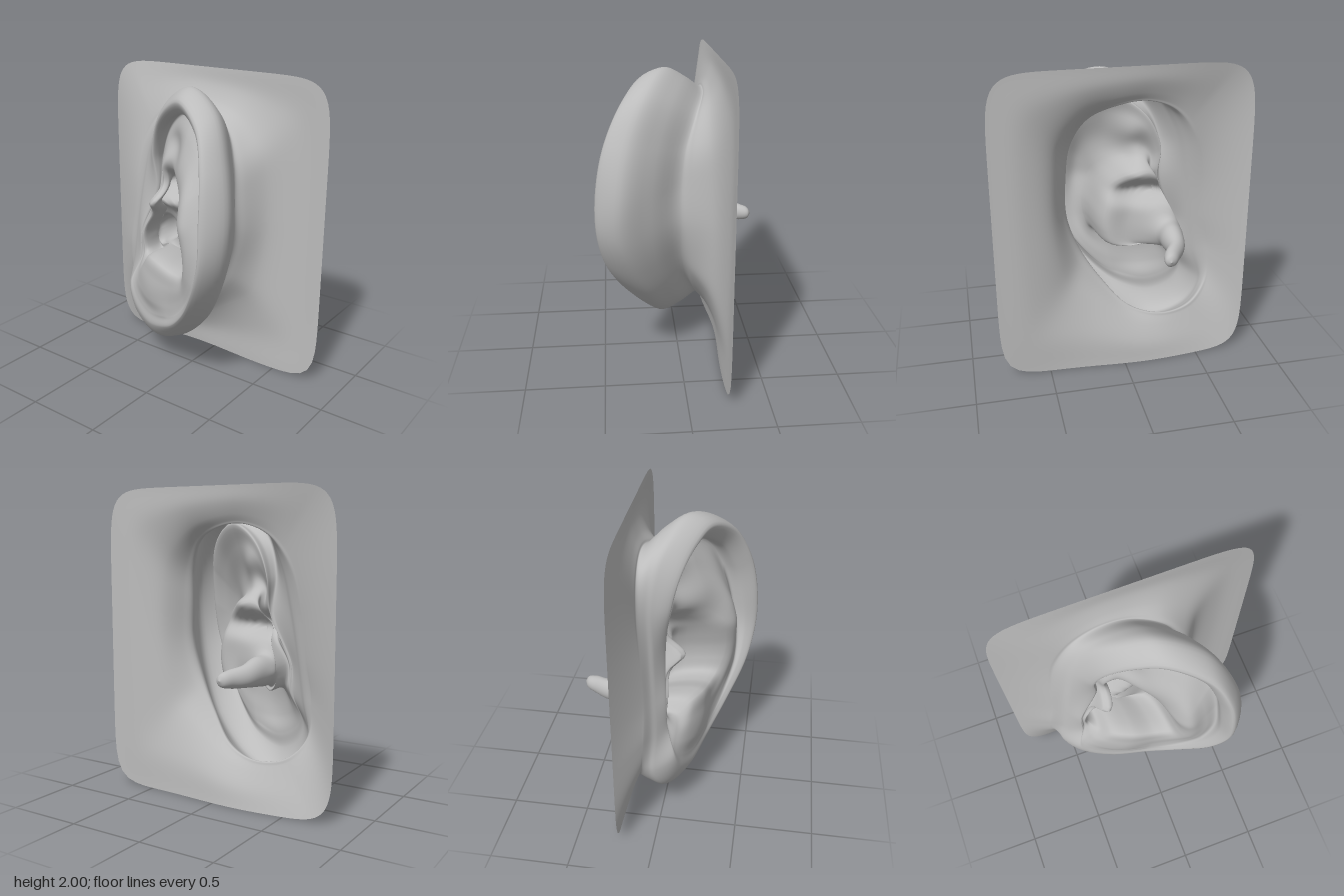
import * as THREE from 'three';

// Guide loops, clockwise from the top of the ear, 17 stations each: x, y, z
const groove = loop([
  0.02, 1.75, -0.15, 0.2, 1.66, -0.09, 0.3, 1.48, -0.02, 0.33, 1.25, 0.01, 0.33, 1, 0.01, 0.26, 0.78, 0,
  0.12, 0.55, -0.05, -0.06, 0.36, -0.13, -0.27, 0.3, -0.17, -0.47, 0.34, -0.15, -0.59, 0.48, -0.1, -0.6, 0.7, -0.08,
  -0.56, 0.95, -0.08, -0.53, 1.25, -0.1, -0.47, 1.52, -0.13, -0.34, 1.7, -0.15, -0.16, 1.77, -0.16]);
const outline = loop([
  0.08, 1.93, 0.1, 0.33, 1.81, 0.22, 0.47, 1.55, 0.33, 0.53, 1.25, 0.38, 0.505, 0.98, 0.38, 0.41, 0.73, 0.31,
  0.24, 0.47, 0.2, 0, 0.26, 0.12, -0.25, 0.17, 0.07, -0.47, 0.27, 0.02, -0.56, 0.46, -0.02, -0.5, 0.68, -0.01,
  -0.47, 0.93, -0.02, -0.42, 1.25, -0.04, -0.37, 1.5, -0.05, -0.25, 1.74, -0.02, -0.1, 1.87, 0.04]);
const crest = loop([
  0.08, 1.86, 0.24, 0.3, 1.74, 0.37, 0.4, 1.52, 0.47, 0.43, 1.25, 0.52, 0.42, 1, 0.52, 0.33, 0.76, 0.47,
  0.17, 0.53, 0.36, -0.03, 0.36, 0.25, -0.25, 0.3, 0.175, -0.41, 0.38, 0.12, -0.47, 0.51, 0.09, -0.42, 0.69, 0.04,
  -0.41, 0.9, 0.03, -0.29, 1.22, 0.01, -0.29, 1.46, 0.04, -0.22, 1.66, 0.09, -0.08, 1.8, 0.16]);
const bowlRim = loop([
  0.02, 1.3, 0.17, 0.08, 1.24, 0.23, 0.12, 1.17, 0.28, 0.15, 1.07, 0.31, 0.17, 0.97, 0.32, 0.165, 0.87, 0.31,
  0.13, 0.78, 0.28, 0.03, 0.76, 0.25, -0.12, 0.79, 0.22, -0.24, 0.79, 0.16, -0.32, 0.73, 0.07, -0.365, 0.77, 0.01,
  -0.37, 0.9, 0.02, -0.2, 1.18, 0, -0.2, 1.34, 0, -0.14, 1.37, 0.03, -0.06, 1.35, 0.1]);
// How strongly the rolled rim overhangs at each station
const overhang = loop([1, 1, 1, 0.9, 0.6, 0.3, 0.1, 0, 0, 0, 0, 0, 0, 0.1, 0.6, 0.8, 0.9].flatMap((d) => [d, 0, 0]));

// Ear canal rings: x, y, z, half width, half height
const canal = [
  [-0.31, 0.88, -0.15, 0.085, 0.1], [-0.31, 0.88, -0.25, 0.072, 0.09], [-0.3, 0.87, -0.36, 0.057, 0.068],
  [-0.25, 0.862, -0.45, 0.052, 0.055], [-0.23, 0.86, -0.505, 0.035, 0.037], [-0.225, 0.86, -0.525, 0.002, 0.002]];

// Soft ridges and hollows inside the ear: x, y, width, height, depth change
const reliefs = [
  [-0.2, 1.14, 0.24, 0.065, 0.11],
  [-0.1, 1.28, 0.1, 0.05, -0.04],
  [-0.09, 1.52, 0.1, 0.11, -0.07],
  [0.18, 1.2, 0.08, 0.28, 0.03],
  [-0.2, 0.54, 0.16, 0.14, 0.025]];

function loop(n) {
  const pts = [];
  for (let i = 0; i < n.length; i += 3) pts.push(new THREE.Vector3(n[i], n[i + 1], n[i + 2]));
  return new THREE.CatmullRomCurve3(pts, true);
}

const mix = (a, b, t, dz = 0) => {
  const p = a.clone().lerp(b, t);
  p.z += dz;
  return p;
};

// Point on the rounded skin panel edge, in the direction of the groove
function panelEdge(angle) {
  const c = Math.cos(angle), s = Math.sin(angle), n = 9;
  const r = (Math.abs(c / 0.82) ** n + Math.abs(s) ** n) ** (-1 / n);
  const x = c * r, y = 1 + s * r;
  const sag = 0.04 * Math.exp(-(((x + 0.15) / 0.4) ** 2) - (y / 0.3) ** 2);
  return new THREE.Vector3(x, y, -0.238 - 0.017 * x - sag);
}

// One section from the panel edge, over the rim, into the bowl and down the canal
function section(u) {
  const g = groove.getPoint(u), o = outline.getPoint(u), c = crest.getPoint(u);
  const r = bowlRim.getPoint(u), d = overhang.getPoint(u).x;
  const angle = Math.atan2(g.y - 1, g.x);
  const edge = panelEdge(angle);
  const power = Math.max(1, 2.5 + 2.6 * Math.cos(angle));
  const skin = [1, 0.6, 0.25, 0.07].map((t) => {
    const p = mix(g, edge, t);
    p.z = g.z + (edge.z - g.z) * (1 - (1 - t) ** power);
    return p;
  });
  const turn = Math.PI / 2 - u * Math.PI * 2;
  const tube = canal.map(([x, y, z, w, h]) =>
    new THREE.Vector3(x + Math.cos(turn) * w, y + Math.sin(turn) * h, z));
  const floor = [0.2, 0.6].map((t) => {
    const p = mix(r, tube[0], t);
    p.z = Math.min(p.z, -0.04 + 0.2 * p.x);
    return p;
  });
  const back = mix(g, o, 0.6);
  back.z = g.z + (o.z - g.z) * 0.48;
  return [
    ...skin, g, back, o, c,
    mix(c, r, 0.16, -0.06 * d), mix(c, r, 0.22 - 0.07 * d, -0.15 * d),
    mix(c, r, 0.42, -0.07 * d), mix(c, r, 0.75, 0.015),
    r, ...floor, ...tube];
}

function earGeometry() {
  const cols = 204, steps = 6, firstInner = 9, lastInner = 15;
  const position = [], index = [];
  let rows = 0;
  for (let i = 0; i < cols; i++) {
    const controls = section(i / cols);
    const curve = new THREE.CatmullRomCurve3(controls);
    const spans = controls.length - 1;
    rows = spans * steps + 1;
    for (let j = 0; j < rows; j++) {
      const p = curve.getPoint(j / (rows - 1));
      const k = j / steps;
      // Fade the inner relief in after the rim and out before the canal
      const fade = THREE.MathUtils.smoothstep(k, firstInner, firstInner + 1)
        * (1 - THREE.MathUtils.smoothstep(k, lastInner - 1, lastInner));
      for (const [x, y, w, h, dz] of reliefs) {
        p.z += fade * dz * Math.exp(-(((p.x - x) / w) ** 2) - ((p.y - y) / h) ** 2);
      }
      position.push(p.x, p.y, p.z);
    }
  }
  for (let i = 0; i < cols; i++) {
    const a = i * rows, b = ((i + 1) % cols) * rows;
    for (let j = 0; j < rows - 1; j++) {
      index.push(a + j, a + j + 1, b + j + 1, a + j, b + j + 1, b + j);
    }
  }
  const geometry = new THREE.BufferGeometry();
  geometry.setAttribute('position', new THREE.Float32BufferAttribute(position, 3));
  geometry.setIndex(index);
  geometry.computeVertexNormals();
  return geometry;
}

export function createModel() {
  const group = new THREE.Group();
  group.name = 'ear';
  const skin = new THREE.MeshStandardMaterial({ color: 0xbcbcbc, side: THREE.DoubleSide });
  skin.name = 'grey skin';
  const ear = new THREE.Mesh(earGeometry(), skin);
  ear.name = 'earWithSkinPanelAndCanal';
  group.add(ear);
  return group;
}
